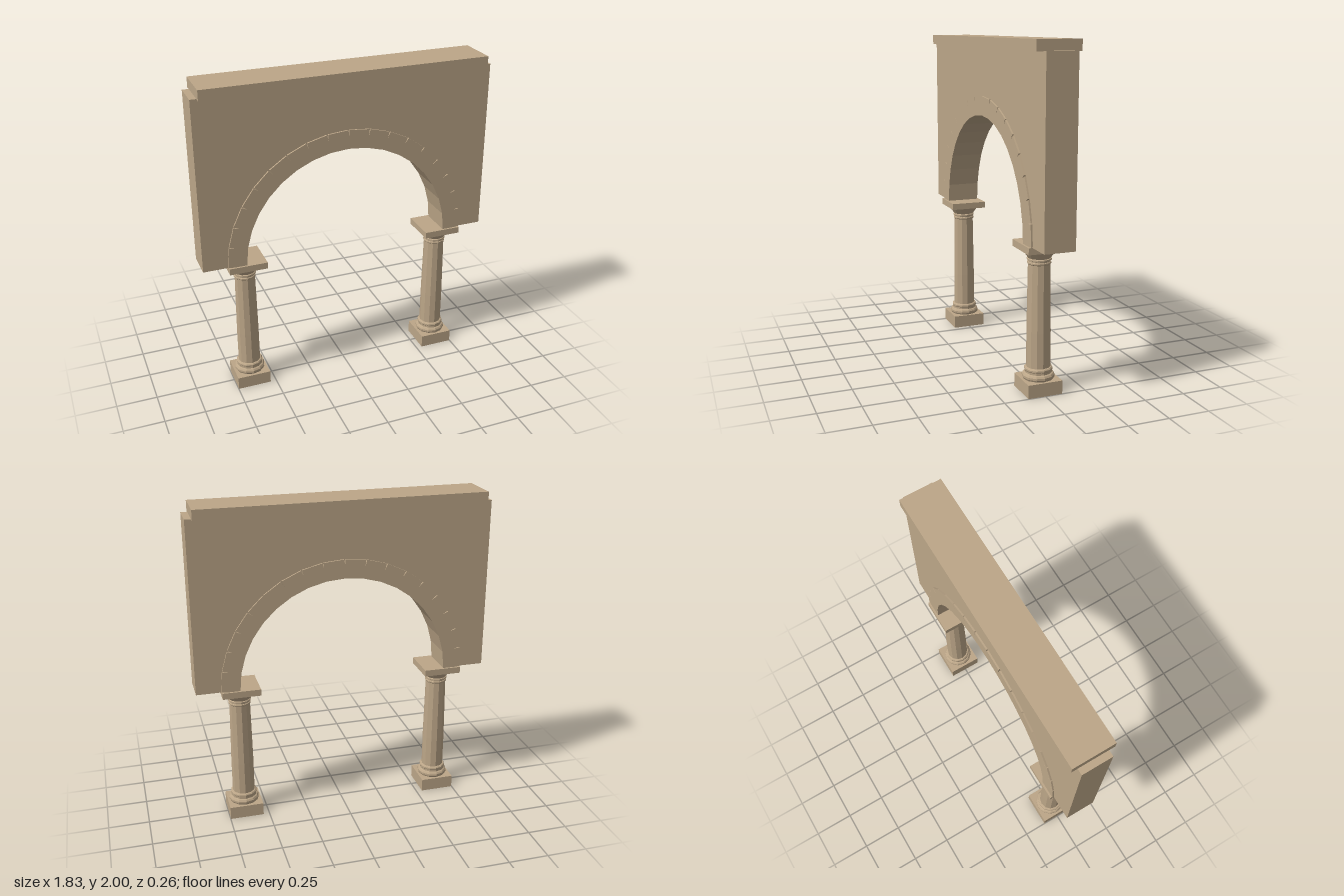
import * as THREE from 'three';

export function createModel() {
  const model = new THREE.Group();
  model.name = 'archway';
  const stone = new THREE.MeshStandardMaterial({ color: 0xbca688, flatShading: true });
  stone.name = 'sandstone';

  const SPRING = 0.88; // height where the arch starts
  const add = (parent, name, geometry, x = 0, y = 0, z = 0) => {
    const mesh = new THREE.Mesh(geometry, stone);
    mesh.name = name;
    mesh.position.set(x, y, z);
    parent.add(mesh);
    return mesh;
  };

  // Wall with a round-headed opening
  const R = 0.757;
  const outline = new THREE.Shape();
  outline.moveTo(-0.915, 0);
  outline.lineTo(-R, 0);
  outline.absarc(0, 0, R, Math.PI, 0, true);
  outline.lineTo(0.915, 0);
  outline.lineTo(0.915, 1.06);
  outline.lineTo(-0.915, 1.06);
  outline.closePath();
  const wall = new THREE.ExtrudeGeometry(outline, { depth: 0.186, bevelEnabled: false, curveSegments: 36 });
  add(model, 'wall', wall, 0, SPRING, -0.093);

  // Coping slab on top
  add(model, 'coping', new THREE.BoxGeometry(1.752, 0.062, 0.26), 0, 1.969, 0);

  // Ring of straight-sided arch stones: they overlap inside and part slightly outside
  const arch = new THREE.Group();
  arch.name = 'arch';
  arch.position.y = SPRING;
  model.add(arch);
  const count = 18, inner = 0.647, outer = 0.763;
  const step = Math.PI / count;
  const block = new THREE.BoxGeometry(outer - inner, 2 * 0.723 * Math.tan(step / 2), 0.206);
  for (let i = 0; i < count; i++) {
    const a = (i + 0.5) * step, r = (inner + outer) / 2;
    add(arch, 'archStone', block, r * Math.cos(a), r * Math.sin(a), 0).rotation.z = a;
  }

  // Columns: square plinth, turned base, shaft and capital, square abacus
  const profile = [
    [0, 0.08], [0.09, 0.08], [0.095, 0.09], [0.095, 0.102], [0.088, 0.112],
    [0.08, 0.116], [0.08, 0.128], [0.083, 0.132], [0.083, 0.142], [0.078, 0.148],
    [0.07, 0.15], [0.07, 0.36], [0.064, 0.755], [0.069, 0.76], [0.069, 0.768],
    [0.065, 0.771], [0.065, 0.777], [0.071, 0.78], [0.071, 0.788], [0.066, 0.792],
    [0.1, 0.84], [0, 0.84],
  ].map(([r, y]) => new THREE.Vector2(r, y));
  const turned = new THREE.LatheGeometry(profile, 12);
  for (const side of [1, -1]) {
    const column = new THREE.Group();
    column.name = side > 0 ? 'leftColumn' : 'rightColumn';
    column.position.x = side * 0.643;
    model.add(column);
    add(column, 'plinth', new THREE.BoxGeometry(0.21, 0.08, 0.21), 0, 0.04, 0);
    add(column, 'shaft', turned);
    add(column, 'abacus', new THREE.BoxGeometry(0.234, 0.04, 0.23), 0, 0.86, 0);
  }

  return model;
}
